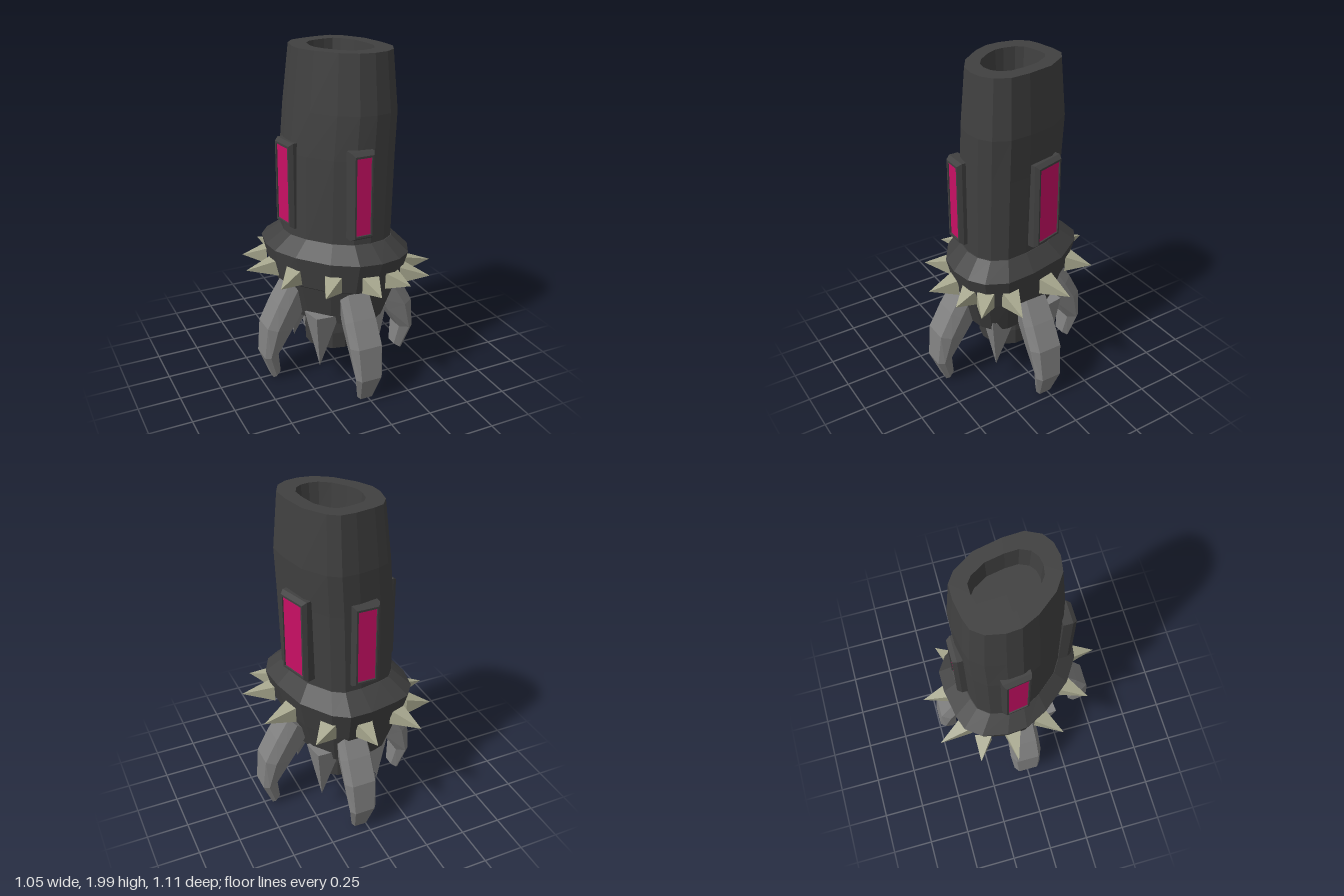
import * as THREE from 'three';

const mat = (color) => new THREE.MeshStandardMaterial({ color, flatShading: true });

// Skin a closed solid over rings of equal point count, capped at both ends.
function loft(rings) {
  const n = rings[0].length, pos = rings.flat(2), tris = [];
  rings.slice(1).forEach((_, r) => {
    for (let i = 0; i < n; i++) {
      const a = r * n + i, b = r * n + (i + 1) % n;
      tris.push([a, b, b + n], [a, b + n, a + n]);
    }
  });
  [0, rings.length - 1].forEach((r) => {
    const c = pos.length / 3;
    for (let k = 0; k < 3; k++) pos.push(rings[r].reduce((s, p) => s + p[k], 0) / n);
    for (let i = 0; i < n; i++) {
      const a = r * n + i, b = r * n + (i + 1) % n;
      tris.push(r ? [a, b, c] : [b, a, c]);
    }
  });
  // Turn every face outward using the sign of the enclosed volume
  const v = (i) => new THREE.Vector3().fromArray(pos, i * 3);
  const volume = tris.reduce((s, [a, b, c]) => s + v(a).dot(v(b).cross(v(c))), 0);
  if (volume < 0) tris.forEach((t) => t.reverse());
  const g = new THREE.BufferGeometry();
  g.setAttribute('position', new THREE.Float32BufferAttribute(pos, 3));
  g.setIndex(tris.flat());
  const flat = g.toNonIndexed();
  flat.computeVertexNormals();
  return flat;
}

// Skewed oval cross-section (x, z), fitted into given bounds
const OVAL = [
  [-0.03, -0.42], [0.1, -0.42], [0.19, -0.36], [0.31, -0.18], [0.36, 0.05], [0.37, 0.22],
  [0.31, 0.34], [0.22, 0.4], [0.1, 0.42], [-0.03, 0.4], [-0.17, 0.31], [-0.31, 0.14],
  [-0.38, 0], [-0.39, -0.12], [-0.36, -0.27], [-0.29, -0.36], [-0.2, -0.39],
];
const oval = ([y, x0, x1, z0, z1]) => OVAL.map(([x, z]) => [
  x0 + (x + 0.39) / 0.76 * (x1 - x0), y, z0 + (z + 0.42) / 0.84 * (z1 - z0)]);

const rect = (w, h, z) => [[-w, -h, z], [w, -h, z], [w, h, z], [-w, h, z]];

export function createModel() {
  const model = new THREE.Group();
  const dark = mat(0x404040), steel = mat(0x808080), bone = mat(0xa5a58c), glow = mat(0xc80f64);
  const add = (name, geometry, material, parent = model) => {
    const m = new THREE.Mesh(geometry, material);
    m.name = name;
    parent.add(m);
    return m;
  };

  // Barrel with a recess in its top
  add('barrel', loft([
    [1.86, -0.115, 0.18, -0.18, 0.18],
    [2, -0.125, 0.19, -0.19, 0.19],
    [2, -0.22, 0.28, -0.28, 0.285],
    [1.67, -0.255, 0.305, -0.31, 0.315],
    [1.42, -0.28, 0.295, -0.305, 0.315],
    [0.9, -0.29, 0.28, -0.3, 0.315],
  ].map(oval)), dark);

  // Flared collar tapering down to the underside
  add('collar', loft([
    [0.93, -0.29, 0.285, -0.305, 0.32],
    [0.84, -0.39, 0.37, -0.42, 0.42],
    [0.65, -0.35, 0.325, -0.365, 0.37],
    [0.64, -0.335, 0.31, -0.35, 0.355],
    [0.41, -0.265, 0.24, -0.28, 0.285],
  ].map(oval)), dark);

  // Hollow nozzle under the collar with a glowing core
  const nozzlePoints = [[0.12, 0.42], [0.12, 0.23], [0.135, 0.195], [0.17, 0.195], [0.175, 0.3], [0.16, 0.42]];
  const nozzle = add('nozzle', new THREE.LatheGeometry(
    nozzlePoints.map(([x, y]) => new THREE.Vector2(x, y)), 14), dark);
  nozzle.material = dark.clone();
  nozzle.material.side = THREE.DoubleSide;
  const core = add('nozzleCore', new THREE.CylinderGeometry(0.12, 0.12, 0.02, 14), glow);
  core.position.y = 0.29;
  nozzle.position.x = core.position.x = -0.01;

  // Four framed windows: outer face centre x, z, facing direction, half width
  [
    [0.01, 0.362, 0, 1, 0.07],
    [0.307, -0.085, 0.96, -0.28, 0.105],
    [-0.03, -0.345, 0, -1, 0.08],
    [-0.31, -0.035, -0.99, 0.15, 0.085],
  ].forEach(([x, z, nx, nz, w]) => {
    const panel = new THREE.Group();
    panel.name = 'window';
    panel.position.set(x, 1.232, z);
    panel.rotation.y = Math.atan2(nx, nz);
    model.add(panel);
    add('windowFrame', loft([
      rect(w, 0.255, -0.08), rect(w, 0.255, -0.025), rect(w - 0.014, 0.238, 0),
      rect(w - 0.024, 0.226, 0), rect(w - 0.026, 0.224, -0.012),
    ]), dark, panel);
    add('windowPane', new THREE.BoxGeometry(2 * w - 0.052, 0.448, 0.01), glow, panel).position.z = -0.012;
  });

  // Pyramid standing at a base point and aimed at its tip
  const pyramid = (name, base, tip, half, twist, material) => {
    const a = new THREE.Vector3(...base), b = new THREE.Vector3(...tip), len = a.distanceTo(b);
    const g = new THREE.ConeGeometry(half * Math.SQRT2, len, 4)
      .rotateY(twist).translate(0, len / 2, 0).rotateX(Math.PI / 2);
    const m = add(name, g, material);
    m.position.copy(a);
    m.lookAt(b);
  };

  // Ring of spikes: base x, z and tip x, z
  [
    [-0.23, -0.335, -0.3, -0.52], [0, -0.38, -0.005, -0.555], [0.19, -0.31, 0.31, -0.405],
    [0.32, -0.06, 0.505, -0.105], [0.335, 0.19, 0.525, 0.23], [0.28, 0.32, 0.41, 0.425],
    [0.185, 0.365, 0.245, 0.495], [0.045, 0.385, 0.03, 0.55], [-0.145, 0.295, -0.255, 0.43],
    [-0.3, 0.1, -0.435, 0.22], [-0.345, -0.08, -0.53, -0.09], [-0.335, -0.26, -0.475, -0.31],
  ].forEach(([x, z, tx, tz]) => pyramid('spike', [x, 0.71, z], [tx, 0.705, tz], 0.05, Math.PI / 4, bone));

  // Teeth pointing down between the claws
  for (const sx of [-1, 1]) for (const sz of [-1, 1]) {
    pyramid('tooth', [sx * 0.16, 0.46, sz * 0.165], [sx * 0.19, 0.13, sz * 0.2], 0.075, 0, steel);
  }

  // Claw stations: outer reach and height, inner reach and height, half width
  const stations = [
    [0.325, 0.645, 0.2, 0.52, 0.09],
    [0.405, 0.515, 0.26, 0.42, 0.098],
    [0.48, 0.37, 0.32, 0.33, 0.1],
    [0.5, 0.17, 0.41, 0.18, 0.085],
    [0.44, 0.01, 0.39, 0.045, 0.052],
  ];
  const clawSection = [[0, -0.72], [0, 0.72], [0.35, 1], [1, 0.7], [1, -0.7], [0.35, -1]];
  const claw = loft(stations.map(([ro, yo, ri, yi, w]) =>
    clawSection.map(([t, s]) => [s * w, yo + (yi - yo) * t, ro + (ri - ro) * t])));

  // Claws around the base: turn, sideways offset x, z, reach
  [
    ['frontClaw', 0, -0.01, 0, 1.05],
    ['leftClaw', Math.PI / 2, 0, 0.015, 1.03],
    ['backClaw', Math.PI, 0.035, 0, 0.985],
    ['rightClaw', -Math.PI / 2, 0, -0.008, 0.965],
  ].forEach(([name, turn, x, z, reach]) => {
    const m = add(name, claw, steel);
    m.rotation.y = turn;
    m.position.set(x, 0, z);
    m.scale.z = reach;
  });

  return model;
}
